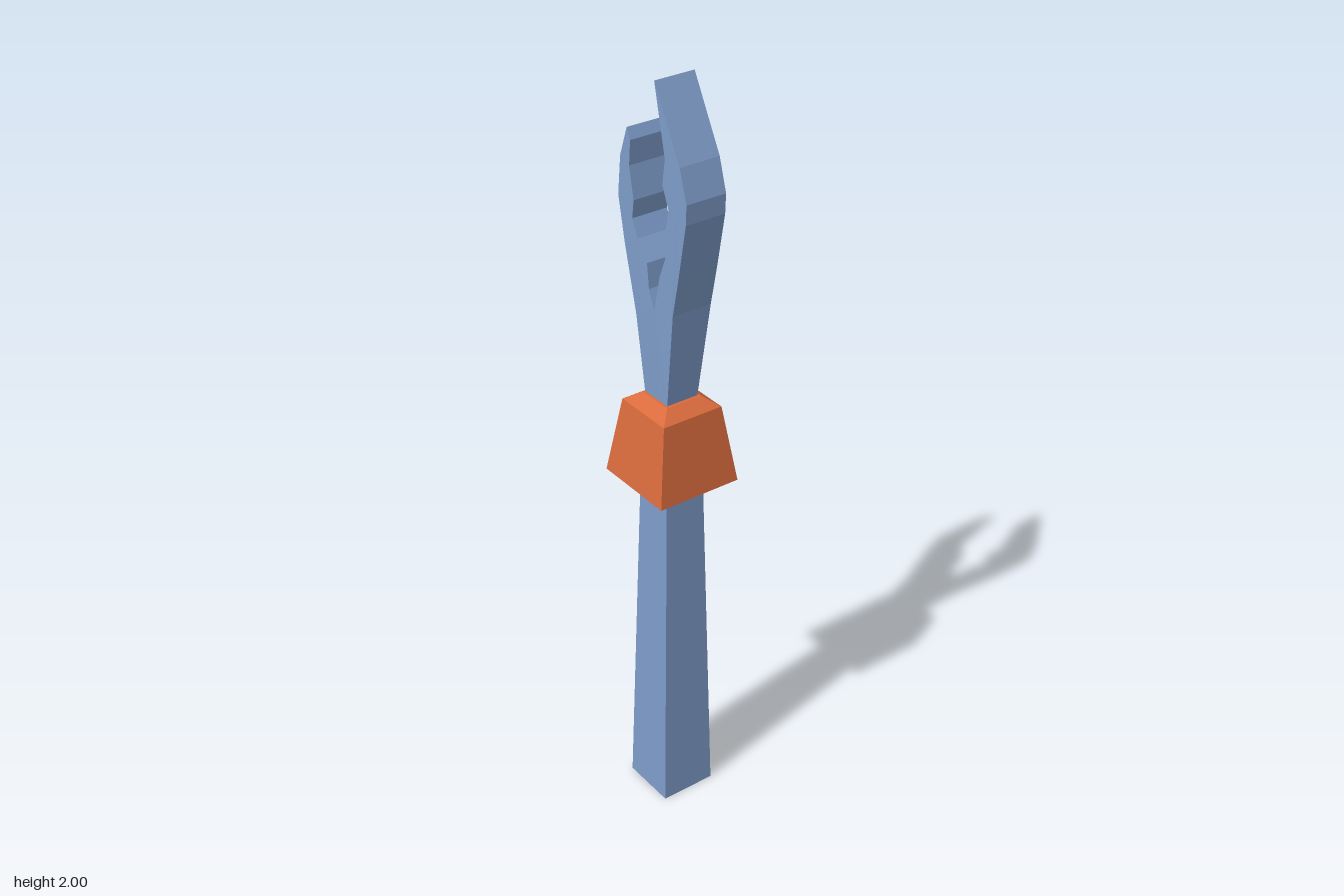
import * as THREE from 'three';

const CENTRE_X = 0.011;

// Square-section solid from [halfWidth, y] rings, bottom to top, closed at both ends
function squareLoft(rings) {
  const pts = rings.map(([h, y]) => new THREE.Vector2(h * Math.SQRT2, y));
  pts.unshift(new THREE.Vector2(0, rings[0][1]));
  pts.push(new THREE.Vector2(0, rings[rings.length - 1][1]));
  const geo = new THREE.LatheGeometry(pts, 4, Math.PI / 4).toNonIndexed();
  geo.computeVertexNormals();
  return geo.translate(CENTRE_X, 0, 0);
}

// Two jagged prongs cut from one plate
function forkGeometry() {
  const outline = [
    [0.053, 1.18], [0.053, 1.2], [0.08, 1.453], [0.103, 1.565], [0.128, 1.70], [0.13, 1.75], [0.105, 1.83],
    [0.011, 2.0], [0.05, 1.83], [0.04, 1.767], [0.063, 1.714], [0.055, 1.671], [0.05, 1.586], [0.029, 1.533],
    [0.008, 1.438], [-0.013, 1.485], [-0.02, 1.549], [-0.056, 1.597], [-0.077, 1.64], [-0.071, 1.687],
    [-0.087, 1.767], [-0.082, 1.83], [-0.095, 1.857], [-0.122, 1.78], [-0.132, 1.68], [-0.108, 1.565],
    [-0.066, 1.40], [-0.037, 1.2], [-0.037, 1.18],
  ];
  const shape = new THREE.Shape(outline.map(([x, y]) => new THREE.Vector2(x, y)));
  const geo = new THREE.ExtrudeGeometry(shape, { depth: 1, bevelEnabled: false });
  const p = geo.attributes.position;
  for (let i = 0; i < p.count; i++) {
    // The plate thickens upward, and the taller prong is deeper at the back
    const t = THREE.MathUtils.clamp((p.getY(i) - 1.2) / 0.22, 0, 1);
    const back = p.getX(i) > 0.01 ? -0.061 : -0.05;
    p.setZ(i, p.getZ(i) > 0.5 ? 0.044 + 0.004 * t : THREE.MathUtils.lerp(-0.045, back, t));
  }
  geo.computeVertexNormals();
  return geo;
}

export function createModel() {
  const steel = new THREE.MeshStandardMaterial({ color: 0x7e9cc9 });
  const orange = new THREE.MeshStandardMaterial({ color: 0xd96b3d });
  steel.name = 'blue steel';
  orange.name = 'burnt orange';

  const model = new THREE.Group();
  model.name = 'forkedStaff';
  const add = (name, geo, mat) => {
    const mesh = new THREE.Mesh(geo, mat);
    mesh.name = name;
    model.add(mesh);
  };

  add('shaft', squareLoft([[0.076, 0], [0.055, 0.95]]), steel);
  add('collar', squareLoft([[0.057, 0.94], [0.115, 0.97], [0.085, 1.175], [0.05, 1.2]]), orange);
  add('fork', forkGeometry(), steel);
  return model;
}
